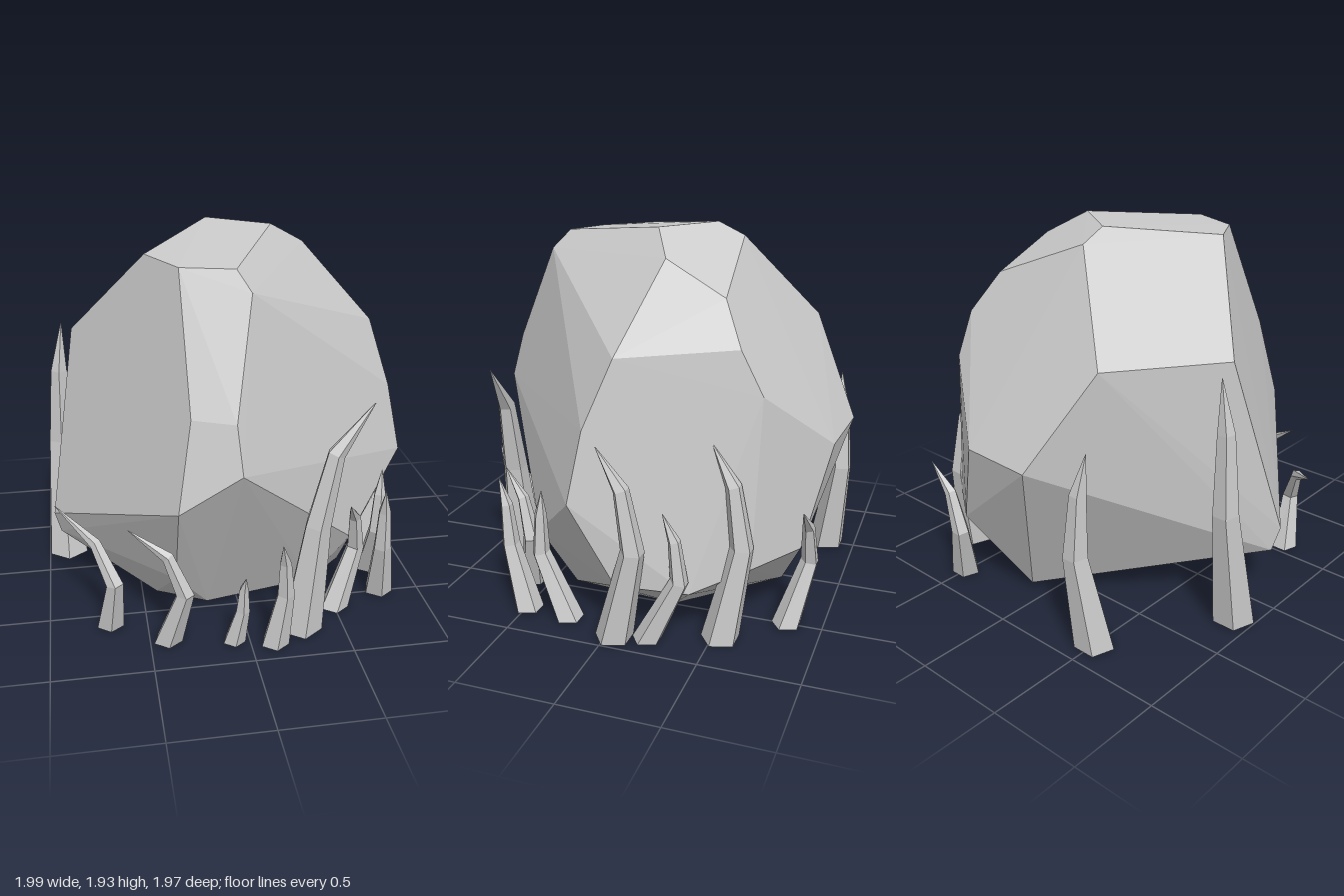
import * as THREE from 'three';
import { ConvexGeometry } from 'three/addons/geometries/ConvexGeometry.js';

const material = new THREE.MeshStandardMaterial({ color: 0xcccccc, flatShading: true });
const UP = new THREE.Vector3(0, 1, 0);

// Corners of the convex faceted boulder, from the crown down to the underside
const corners = [
  [-0.43, 1.865, 0.22], [-0.29, 1.855, 0.47], [-0.03, 1.86, 0.56], [0.03, 1.765, 0.64],
  [0.255, 1.935, -0.05], [-0.055, 1.935, -0.27], [-0.055, 1.87, -0.41],
  [0.45, 1.815, -0.155], [0.49, 1.65, -0.47], [0.81, 1.4, -0.02], [0.61, 1.44, -0.58],
  [0.6, 1.22, -0.69], [-0.45, 1.4, -0.74], [-0.8, 1.38, -0.17], [-0.085, 1.23, 0.91],
  [-0.285, 1.23, 0.82], [-0.065, 0.995, 0.97], [-0.36, 0.79, 0.91], [0.895, 1.06, 0.11],
  [0.957, 0.7, 0.17], [-0.2, 0.9, -1], [0.22, 0.89, -0.97], [-0.95, 0.42, 0.1],
  [-0.35, 0.28, 0.64], [0.6, 0.36, 0.5], [0.9, 0.28, -0.05], [0.82, 0.255, -0.4],
  [0.68, 0.365, -0.67], [0.42, 0.39, -0.86], [-0.92, 0.29, 0.07], [0.6, 0.1, 0.29],
  [-0.43, 0.06, 0.4], [-0.17, 0.035, 0.5], [0.42, 0.035, 0.38], [0.55, 0.035, -0.24],
  [0.09, 0.035, -0.7],
];

// Grass blades: foot x, z; tip x, height, z; sideways swing of the knee
const blades = [
  [-0.69, 0.58, -0.94, 0.6, 0.36, 0.08],
  [-0.41, 0.76, -0.59, 0.645, 0.75, 0.11],
  [-0.08, 0.82, -0.035, 0.41, 0.9, 0.04],
  [0.12, 0.87, 0.13, 0.615, 0.97, 0.04],
  [0.28, 0.76, 0.62, 1.22, 0.73, 0.06],
  [0.5, 0.6, 0.53, 0.66, 0.72, 0.13],
  [0.78, 0.49, 0.735, 0.69, 0.65, -0.1],
  [0.8, 0.25, 0.8, 0.68, 0.38, -0.15],
  [0.9, -0.04, 0.92, 1, 0.03, 0.11],
  [0.86, -0.2, 0.86, 0.68, -0.28, 0.16],
  [0.74, -0.54, 0.7, 1, -0.475, 0.09],
  [0.5, -0.82, 0.62, 0.67, -0.905, 0.12],
  [-0.5, -0.84, -0.5, 1.06, -0.88, -0.08],
  [-0.89, -0.21, -0.855, 1.36, -0.34, -0.11],
];

// Foot, knee, shoulder and tip of a blade; the knee swings around the rock and a little outward
function bladePath(x, z, tipX, height, tipZ, swing) {
  const foot = new THREE.Vector3(x, 0, z);
  const tip = new THREE.Vector3(tipX, height, tipZ);
  const out = foot.clone().normalize();
  const knee = foot.clone().addScaledVector(out, 0.03);
  knee.addScaledVector(new THREE.Vector3(out.z, 0, -out.x), swing);
  const shoulder = knee.clone().lerp(tip, 0.3);
  knee.y = height * 0.49;
  shoulder.y = height * 0.8;
  return [foot, knee, shoulder, tip];
}

// Bend a five-sided cylinder along the path, narrowing to a point
function bladeGeometry(blade) {
  const path = bladePath(...blade);
  const radius = Math.min(0.11, 0.03 + 0.07 * path[3].y);
  const taper = [1, 0.62, 0.42, 0.02];
  const turns = path.map((p, i) => {
    const dir = i === 0 ? UP : path[Math.min(i + 1, 3)].clone().sub(path[i - 1]).normalize();
    return new THREE.Quaternion().setFromUnitVectors(UP, dir);
  });
  const geometry = new THREE.CylinderGeometry(1, 1, 3, 5, 3);
  const pos = geometry.attributes.position;
  const v = new THREE.Vector3();
  for (let i = 0; i < pos.count; i++) {
    v.fromBufferAttribute(pos, i);
    const ring = Math.round(v.y + 1.5);
    v.setY(0).multiplyScalar(radius * taper[ring]).applyQuaternion(turns[ring]).add(path[ring]);
    pos.setXYZ(i, v.x, v.y, v.z);
  }
  const flat = geometry.toNonIndexed();
  flat.computeVertexNormals();
  return flat;
}

export function createModel() {
  const model = new THREE.Group();
  model.name = 'boulderWithGrass';

  const boulder = new THREE.Mesh(
    new ConvexGeometry(corners.map((c) => new THREE.Vector3(...c))), material);
  boulder.name = 'boulder';
  model.add(boulder);

  // Grass standing around the foot of the boulder
  const grass = new THREE.Group();
  grass.name = 'grass';
  blades.forEach((blade, i) => {
    const mesh = new THREE.Mesh(bladeGeometry(blade), material);
    mesh.name = `grassBlade${i + 1}`;
    grass.add(mesh);
  });
  model.add(grass);
  return model;
}
